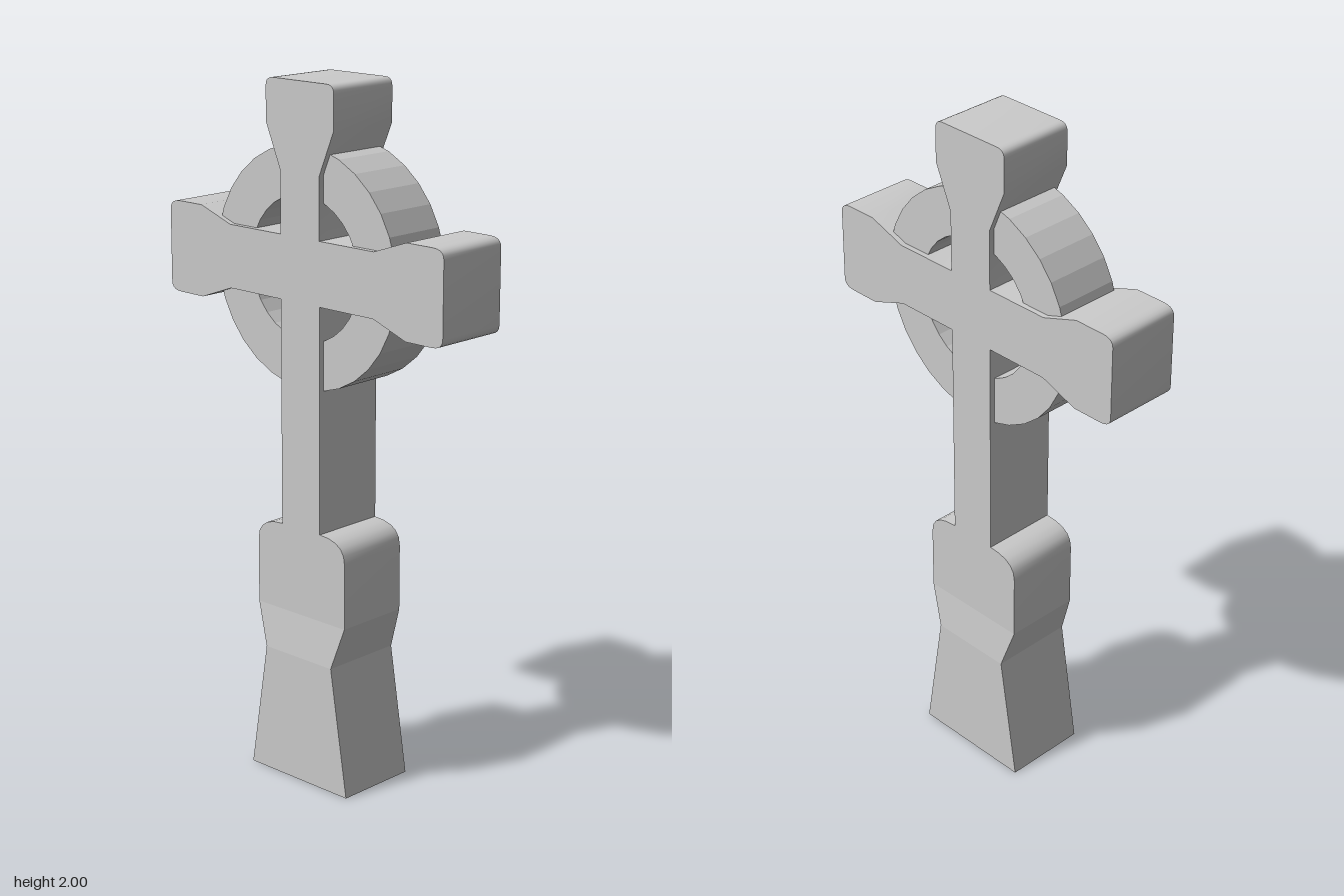
import * as THREE from 'three';
import { toCreasedNormals } from 'three/addons/utils/BufferGeometryUtils.js';

const material = new THREE.MeshStandardMaterial({ color: 0xcccccc });

// Extrudes a shape drawn in the z-y plane along x, centred on x = 0
function slab(name, shape, thickness, crease) {
  const geometry = new THREE.ExtrudeGeometry(shape, { depth: thickness, bevelEnabled: false, curveSegments: 5 });
  geometry.translate(0, 0, -thickness / 2);
  geometry.rotateY(-Math.PI / 2);
  const mesh = new THREE.Mesh(toCreasedNormals(geometry, crease), material);
  mesh.name = name;
  return mesh;
}

// Half outline of the cross, from the plinth up to the head; 4 values = curve (control, end)
const half = [
  [0.168, 0.5], [0.168, 0.69], [0.168, 0.755, 0.073, 0.755],
  [0.073, 1.4], [0.27, 1.4], [0.385, 1.358], [0.475, 1.358], [0.513, 1.358, 0.513, 1.385],
  [0.513, 1.593], [0.513, 1.62, 0.475, 1.62], [0.385, 1.62], [0.27, 1.58], [0.073, 1.58],
  [0.073, 1.755], [0.126, 1.88], [0.126, 1.975], [0.126, 2, 0.1, 2],
];

function crossShape() {
  const shape = new THREE.Shape();
  shape.moveTo(...half[0]);
  for (const p of half.slice(1)) {
    if (p.length === 4) shape.quadraticCurveTo(...p);
    else shape.lineTo(...p);
  }
  // mirrored side, walked back down
  for (let i = half.length - 1; i >= 0; i--) {
    const p = half[i];
    const [z, y] = p.slice(-2);
    if (i === half.length - 1 || half[i + 1].length === 2) shape.lineTo(-z, y);
    else shape.quadraticCurveTo(-half[i + 1][0], half[i + 1][1], -z, y);
  }
  return shape;
}

// Regular polygon outline for the ring
function circlePoints(radius, sides) {
  return Array.from({ length: sides }, (_, i) => {
    const a = (i / sides) * Math.PI * 2;
    return new THREE.Vector2(Math.cos(a) * radius, Math.sin(a) * radius);
  });
}

// Plinth: a box with each row of vertices moved to its own half width and depth
function plinth() {
  const rows = [[0, 0.125, 0.187], [0.375, 0.125, 0.127], [0.5, 0.113, 0.168]];
  const geometry = new THREE.BoxGeometry(2, 2, 2, 1, 2, 1);
  const pos = geometry.attributes.position;
  for (let i = 0; i < pos.count; i++) {
    const [y, hx, hz] = rows[Math.round(pos.getY(i) + 1)];
    pos.setXYZ(i, pos.getX(i) * hx, y, pos.getZ(i) * hz);
  }
  const mesh = new THREE.Mesh(toCreasedNormals(geometry, 0.05), material);
  mesh.name = 'plinth';
  return mesh;
}

export function createModel() {
  const group = new THREE.Group();
  group.name = 'ringedCross';

  group.add(plinth(), slab('cross', crossShape(), 0.226, 0.45));

  // Ring around the crossing, thinner than the arms
  const ringShape = new THREE.Shape(circlePoints(0.337, 32));
  ringShape.holes.push(new THREE.Path(circlePoints(0.202, 32)));
  const ring = slab('ring', ringShape, 0.194, 0.05);
  ring.position.y = 1.492;
  group.add(ring);

  return group;
}
